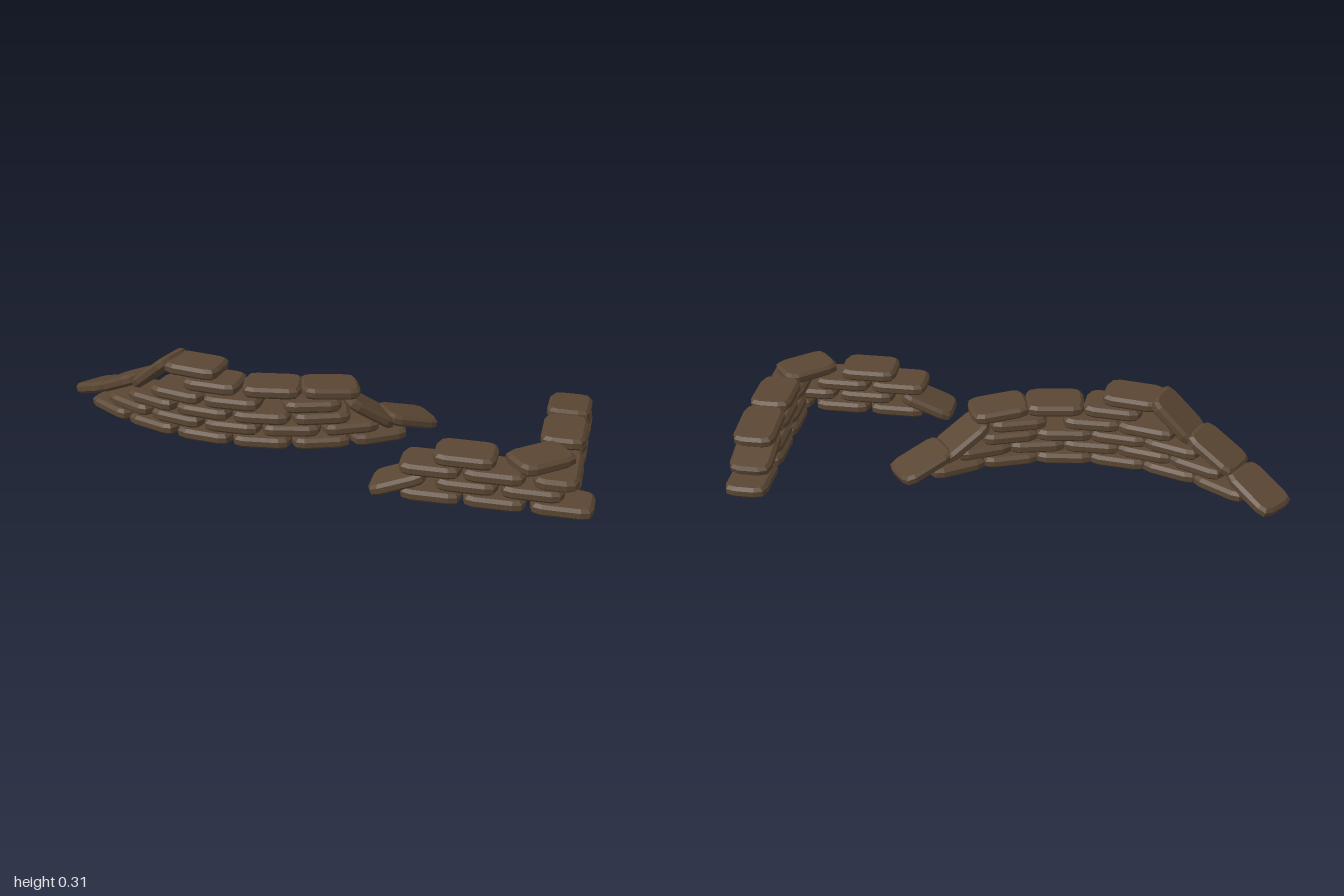
import * as THREE from 'three';

const LENGTH = 0.21, WIDTH = 0.152, HEIGHT = 0.041;
const ROWS = [0.031, 0.081, 0.127, 0.175, 0.23, 0.281]; // height of each course

// Flattened cushion: rounded rectangle with chamfered rims
function bagGeometry() {
  const bevel = 0.012, r = 0.03;
  const a = LENGTH / 2 - bevel, b = WIDTH / 2 - bevel;
  const s = new THREE.Shape();
  s.moveTo(-a + r, -b);
  s.lineTo(a - r, -b);
  s.quadraticCurveTo(a, -b, a, -b + r);
  s.lineTo(a, b - r);
  s.quadraticCurveTo(a, b, a - r, b);
  s.lineTo(-a + r, b);
  s.quadraticCurveTo(-a, b, -a, b - r);
  s.lineTo(-a, -b + r);
  s.quadraticCurveTo(-a, -b, -a + r, -b);
  const g = new THREE.ExtrudeGeometry(s, {
    depth: HEIGHT - 0.022, bevelThickness: 0.011, bevelSize: bevel, bevelSegments: 1, curveSegments: 2,
  });
  g.rotateX(-Math.PI / 2);
  g.center();
  return g;
}

export function createModel() {
  const model = new THREE.Group();
  model.name = 'sandbagWalls';
  const burlap = new THREE.MeshStandardMaterial({ color: 0x5a4633, flatShading: true });
  burlap.name = 'brown burlap';
  const geometry = bagGeometry();

  // yaw turns the bag about y; tilt (degrees) raises its +x end
  function addBag(group, name, x, y, z, yaw = 0, tilt = 0, stretch = 1) {
    const bag = new THREE.Mesh(geometry, burlap);
    bag.name = name;
    bag.position.set(x, y, z);
    bag.rotation.set(0, yaw, THREE.MathUtils.degToRad(tilt), 'YXZ');
    bag.scale.x = stretch;
    group.add(bag);
  }

  // Curved wall: bags follow an arc bulging to the front
  const curved = new THREE.Group();
  curved.name = 'curvedWall';
  model.add(curved);
  const R = 0.93;
  const arcBag = (name, phi, y, tilt = 0) =>
    addBag(curved, name, -0.315 + R * Math.sin(phi), y, -0.865 + R * Math.cos(phi), phi, tilt);
  const step = 0.222;
  const courses = [
    [-2.5, -1.5, -0.5, 0.5, 1.5, 2.5],
    [-2, -1, 0, 1, 2],
    [-1.5, -0.5, 0.5, 1.5],
    [-1, 0, 1.35],
    [-0.36, 0.68],
    [-0.7],
  ];
  courses.forEach((list, row) => list.forEach((k) => arcBag('curvedWallBag', k * step, ROWS[row])));
  arcBag('saggingBag', 0.37, 0.224, -4);
  // Slumped bags stepping down both ends: [angle, height, tilt]
  [
    [-0.70, 0.062, 22], [-0.505, 0.148, 26], [-0.33, 0.237, 40],
    [0.52, 0.128, -34], [0.69, 0.067, -17],
  ].forEach(([phi, y, tilt]) => arcBag('slumpedBag', phi, y, tilt));

  // Corner wall: a front arm along x and a side arm along z
  const corner = new THREE.Group();
  corner.name = 'cornerWall';
  model.add(corner);
  const frontZ = 0.307, sideX = 0.865, turn = Math.PI / 2;
  [[0.45, 0.665, 0.89], [0.57, 0.79], [0.445, 0.66], [0.56]].forEach((xs, row) =>
    xs.forEach((x) => addBag(corner, 'frontArmBag', x, ROWS[row], frontZ)));
  [[0.125, -0.083, -0.287], [0.125, -0.085], [0.01], [0.065]].forEach((zs, row) =>
    zs.forEach((z) => addBag(corner, 'sideArmBag', sideX, ROWS[row], z, turn)));
  addBag(corner, 'longCornerBag', sideX, ROWS[2], 0.2525, turn, 0, 1.26);
  addBag(corner, 'turnedCornerBag', 0.805, ROWS[3], 0.28, 0.7);
  addBag(corner, 'slumpedFrontBag', 0.335, 0.057, 0.3, 0, 22);
  addBag(corner, 'slumpedSideBag', sideX, 0.102, -0.22, turn, -16);
  addBag(corner, 'slumpedSideBag', sideX, 0.166, -0.153, turn, -7);

  return model;
}
